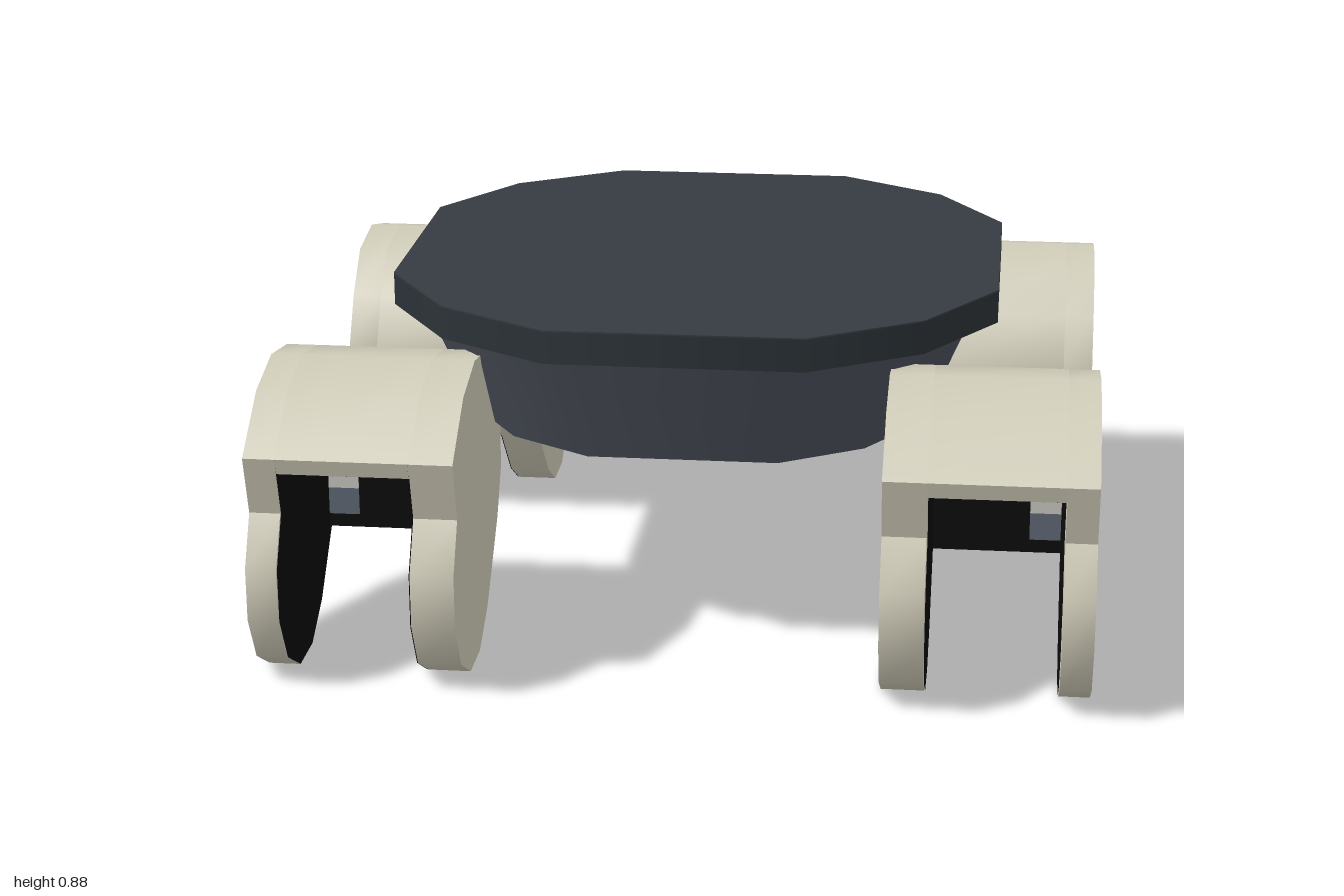
import * as THREE from 'three';
import { toCreasedNormals } from 'three/addons/utils/BufferGeometryUtils.js';
import { ConvexGeometry } from 'three/addons/geometries/ConvexGeometry.js';

const mat = (name, color, side = THREE.FrontSide) => {
  const m = new THREE.MeshStandardMaterial({ color, side });
  m.name = name;
  return m;
};

export function createModel() {
  const cream = mat('cream', 0xd0ccb9);
  const body = mat('slate body', 0x4b505a);
  const top = mat('dark slate top', 0x363b43);
  const rim = mat('darker rim', 0x2b3237);
  const black = mat('black lining', 0x0b0b0b, THREE.DoubleSide);
  const green = mat('green', 0x3a8a35);
  const red = mat('red', 0xb0302c);
  const white = mat('pale grey', 0xc4c2ba);
  const blue = mat('blue grey', 0x5c6672);

  const model = new THREE.Group();
  const add = (parent, name, geometry, material) => {
    const mesh = new THREE.Mesh(geometry, material);
    mesh.name = name;
    parent.add(mesh);
    return mesh;
  };

  // Twelve-sided outline shared by the body, rim and top
  const quarter = [[0.31, 0.75], [0.58, 0.58], [0.75, 0.31]];
  const ring = (y, s) => quarter.flatMap(([x, z]) =>
    [[1, 1], [1, -1], [-1, 1], [-1, -1]].map(([a, b]) => new THREE.Vector3(a * x * s, y, b * z * s)));
  const slab = (y0, s0, y1, s1) =>
    toCreasedNormals(new ConvexGeometry([...ring(y0, s0), ...ring(y1, s1)]), 0.7);

  add(model, 'body', slab(0.5, 0.75, 0.8, 0.915), body);
  add(model, 'rim', slab(0.795, 1, 0.874, 1), rim);
  add(model, 'topPlate', slab(0.873, 1, 0.878, 1), top);

  // Leg outlines as (z, y)
  const upper = [[0.91, 0.59], [0.75, 0.705], [0.59, 0.745], [0.43, 0.72], [0.33, 0.62],
    [0.26, 0.5], [0.26, 0.36], [0.33, 0.245]];
  const lower = [[0.5, 0.07], [0.62, 0], [0.75, 0], [0.87, 0.07], [0.935, 0.19], [0.935, 0.32], [0.87, 0.44]];
  const outline = pts => new THREE.Shape(pts.map(p => new THREE.Vector2(...p)));
  const plateShape = outline([...upper, ...lower]);
  const hoodShape = outline([...upper, [0.355, 0.22], [0.37, 0.22], [0.37, 0.55], [0.898, 0.55]]);

  // Extrude a (z, y) outline across x between a and b
  const across = (shape, a, b) => {
    const g = new THREE.ExtrudeGeometry(shape, { depth: Math.abs(b - a), bevelEnabled: false });
    g.rotateY(-Math.PI / 2).translate(Math.max(a, b), 0, 0);
    return toCreasedNormals(g, 0.7);
  };

  // Painted bands on the back wall: bottom, top, material
  const bands = [[0.255, 0.325, blue], [0.325, 0.365, white], [0.365, 0.397, red],
    [0.397, 0.455, green], [0.46, 0.478, blue], [0.48, 0.505, white], [0.53, 0.55, green]];

  const makeLeg = side => {
    const leg = new THREE.Group();
    add(leg, 'innerSidePlate', across(plateShape, side * 0.5, side * 0.605), cream);
    add(leg, 'outerSidePlate', across(plateShape, side * 0.925, side), cream);
    add(leg, 'hood', across(hoodShape, side * 0.605, side * 0.925), cream);

    // Black faces inside the open channel
    for (const x of [0.607, 0.923]) {
      const g = new THREE.ShapeGeometry(plateShape);
      g.rotateY(-Math.PI / 2).translate(side * x, 0, 0);
      add(leg, 'channelSideLining', g, black);
    }
    add(leg, 'channelBackLining', new THREE.BoxGeometry(0.32, 0.33, 0.006), black)
      .position.set(side * 0.765, 0.385, 0.372);
    add(leg, 'channelCeilingLining', new THREE.BoxGeometry(0.32, 0.006, 0.515), black)
      .position.set(side * 0.765, 0.549, 0.63);

    for (const [y0, y1, m] of bands) {
      add(leg, 'colourBand', new THREE.BoxGeometry(0.077, y1 - y0, 0.006), m)
        .position.set(side * 0.884, (y0 + y1) / 2, 0.376);
    }
    return leg;
  };

  // Front legs face +z, rear legs are the opposite hand turned around
  for (const side of [1, -1]) {
    const front = makeLeg(side);
    front.name = side > 0 ? 'frontLeftLeg' : 'frontRightLeg';
    const rear = makeLeg(side);
    rear.name = side > 0 ? 'rearRightLeg' : 'rearLeftLeg';
    rear.rotation.y = Math.PI;
    model.add(front, rear);
  }
  return model;
}
